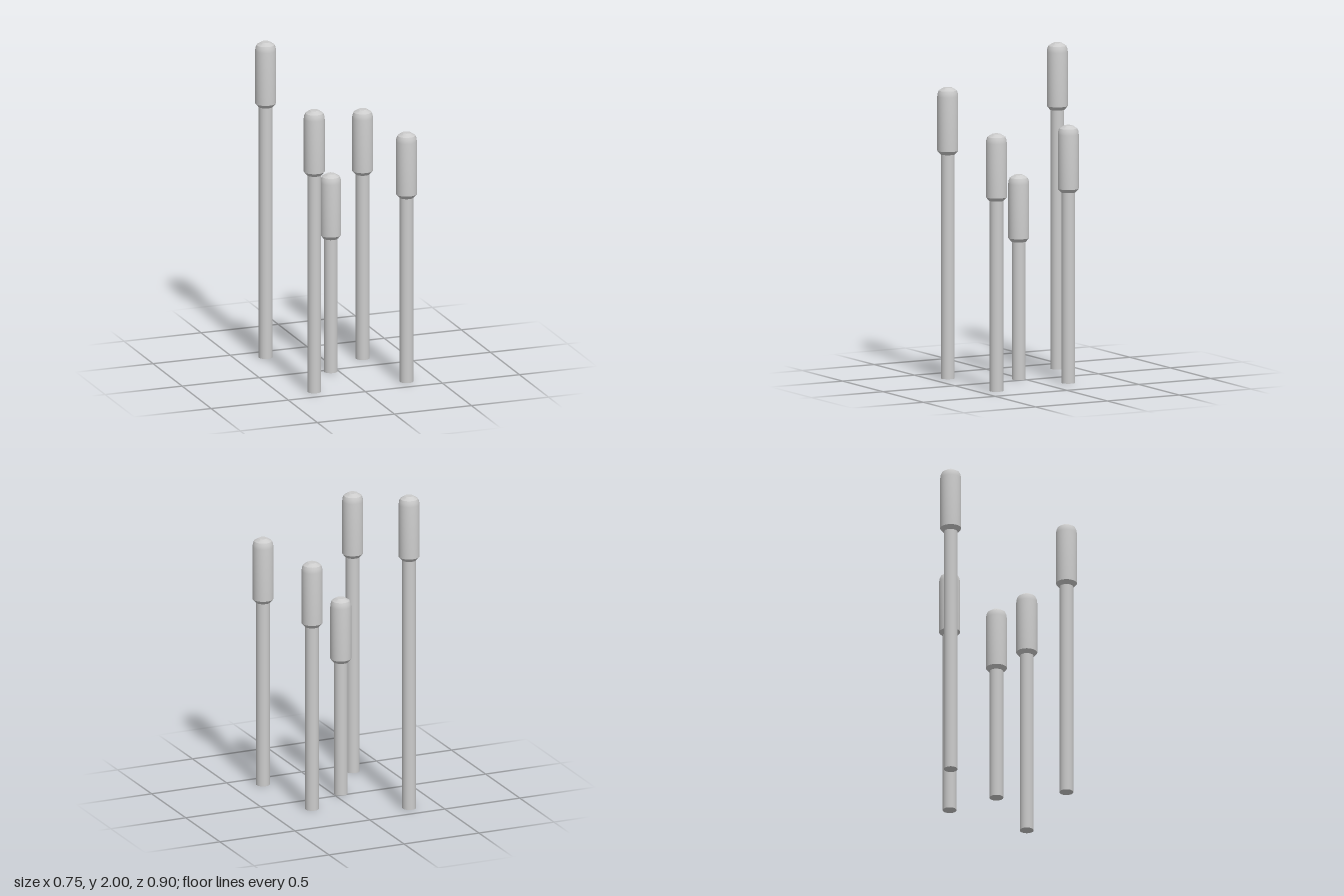
import * as THREE from 'three';
import { toCreasedNormals } from 'three/addons/utils/BufferGeometryUtils.js';

const material = new THREE.MeshStandardMaterial({ color: 0xcccccc });
const STEM_RADIUS = 0.042;
const HEAD_LENGTH = 0.41;

// Head outline from its underside to its flat tip, as [radius, height below the tip]
const headProfile = [
  [0, HEAD_LENGTH], [0.045, HEAD_LENGTH], [0.064, 0.388],
  [0.064, 0.055], [0.061, 0.034], [0.054, 0.018], [0.026, 0], [0, 0],
].map(([r, d]) => new THREE.Vector2(r, -d));

function createReed(x, z, height) {
  const reed = new THREE.Group();
  reed.name = 'reed';

  // Straight round stem, standing on the ground
  const stemLength = height - HEAD_LENGTH + 0.01;
  const stem = new THREE.Mesh(
    new THREE.CylinderGeometry(STEM_RADIUS, STEM_RADIUS, stemLength, 32), material);
  stem.name = 'stem';
  stem.position.y = stemLength / 2;

  // Thick seed head with a tapered base and a blunt tip
  const head = new THREE.Mesh(
    toCreasedNormals(new THREE.LatheGeometry(headProfile, 32), Math.PI / 7), material);
  head.name = 'seedHead';
  head.position.y = height;

  reed.add(stem, head);
  reed.position.set(x, 0, z);
  return reed;
}

export function createModel() {
  const model = new THREE.Group();
  model.name = 'reedCluster';
  // x, z and height of each reed
  const reeds = [
    [-0.312, -0.389, 2.0],
    [0.231, -0.16, 1.58],
    [-0.047, 0.029, 1.255],
    [-0.289, 0.387, 1.785],
    [0.31, 0.385, 1.578],
  ];
  for (const [x, z, height] of reeds) model.add(createReed(x, z, height));
  return model;
}
